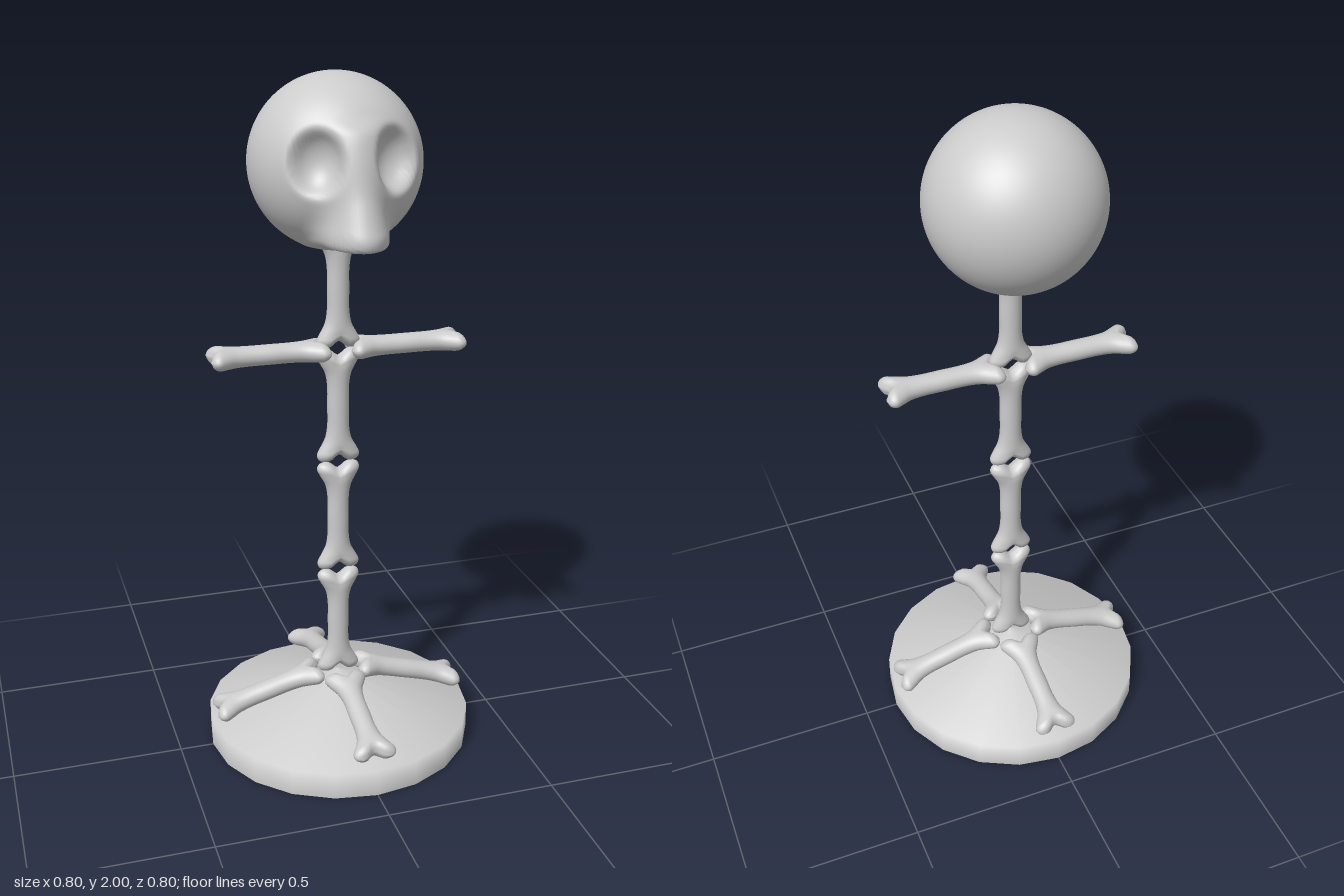
import * as THREE from 'three';
import { mergeVertices } from 'three/addons/utils/BufferGeometryUtils.js';

const material = new THREE.MeshStandardMaterial({ color: 0xcccccc });

function add(parent, name, geometry) {
  const mesh = new THREE.Mesh(geometry, material);
  mesh.name = name;
  parent.add(mesh);
  return mesh;
}

// Weld seams and recompute smooth normals after moving vertices
function smooth(geometry) {
  geometry.deleteAttribute('uv');
  geometry.deleteAttribute('normal');
  const welded = mergeVertices(geometry, 1e-5);
  welded.computeVertexNormals();
  return welded;
}

// Smooth minimum and maximum, used to blend solids
function blendMin(a, b, k) {
  const h = Math.max(k - Math.abs(a - b), 0) / k;
  return Math.min(a, b) - h * h * k / 4;
}
const blendMax = (a, b, k) => -blendMin(-a, -b, k);

// Flattened bone along y, wide in x, with a two-lobed knuckle at each end
function boneGeometry() {
  // Half profile: half width, distance from the middle, half thickness
  const profile = new THREE.CatmullRomCurve3([
    [0.032, 0, 0.029], [0.032, 0.06, 0.029], [0.039, 0.1, 0.03], [0.056, 0.132, 0.032],
    [0.064, 0.15, 0.032], [0.059, 0.165, 0.023], [0.04, 0.174, 0],
  ].map((p) => new THREE.Vector3(...p)));
  const geometry = new THREE.CylinderGeometry(1, 1, 2, 28, 44, true);
  const pos = geometry.attributes.position;
  for (let i = 0; i < pos.count; i++) {
    const t = pos.getY(i);
    const p = profile.getPoint(Math.min(1, Math.abs(t)));
    const x = pos.getX(i) * p.x;
    const dent = Math.exp(-((x / 0.02) ** 2)) * THREE.MathUtils.smoothstep(p.y, 0.1, 0.17);
    pos.setXYZ(i, x, Math.sign(t) * (p.y - 0.022 * dent), pos.getZ(i) * p.z * (1 - 0.2 * dent));
  }
  return smooth(geometry);
}

// Signed measure of the skull solid: negative inside
function skullField(x, y, z) {
  const ax = Math.abs(x);
  const cranium = Math.hypot(x, y - 1.757, z + 0.03) - 0.243;

  // Muzzle: elliptical column leaning forward towards the mouth, flat below
  const up = THREE.MathUtils.clamp((y - 1.6) / 0.25, 0, 1);
  const front = 0.287 - 0.09 * up ** 0.9;
  const halfWidth = 0.094 - 0.045 * up;
  const halfDepth = front - 0.12;
  const column = (Math.hypot(x / halfWidth, (z - 0.12) / halfDepth) - 1) * halfWidth;
  const muzzle = blendMax(blendMax(column, 1.56 - y, 0.02), y - 1.86, 0.03);
  const solid = blendMin(cranium, muzzle, 0.045);

  // Eye sockets: ellipsoids turned outwards
  const c = Math.cos(0.62), s = Math.sin(0.62);
  const dx = ax - 0.122, dz = z - 0.19;
  const side = c * dx - s * dz, depth = s * dx + c * dz;
  const socket = (Math.hypot(side / 0.074, (y - 1.79) / 0.09, depth / 0.075) - 1) * 0.078;
  return blendMax(solid, -socket, 0.022);
}

// Move every vertex of a sphere along its ray to the skull surface
function skullGeometry() {
  const geometry = new THREE.SphereGeometry(1, 160, 120);
  const pos = geometry.attributes.position;
  const d = new THREE.Vector3();
  for (let i = 0; i < pos.count; i++) {
    d.fromBufferAttribute(pos, i);
    let near = 0, far = 0.45;
    for (let k = 0; k < 22; k++) {
      const r = (near + far) / 2;
      if (skullField(d.x * r, 1.757 + d.y * r, d.z * r - 0.03) < 0) near = r;
      else far = r;
    }
    pos.setXYZ(i, d.x * near, 1.757 + d.y * near, d.z * near - 0.03);
  }
  return smooth(geometry);
}

export function createModel() {
  const model = new THREE.Group();
  model.name = 'boneStand';
  const bone = boneGeometry();

  // Base: low drum with a shallow cone on top
  const base = new THREE.Group();
  base.name = 'base';
  model.add(base);
  const outline = [[0.4, 0], [0.4, 0.08], [0, 0.2]].map((p) => new THREE.Vector2(...p));
  add(base, 'baseTop', new THREE.LatheGeometry(outline, 20));
  const underside = add(base, 'baseUnderside', new THREE.CircleGeometry(0.4, 20));
  underside.rotation.x = Math.PI / 2;

  // Spine: four stacked bones
  for (let i = 0; i < 4; i++) {
    add(model, 'spineBone' + (i + 1), bone).position.y = 0.37 + i * 0.345;
  }

  // Bone lying outwards from the axis, turned about y and tilted down
  function limb(name, turn, distance, height, tilt) {
    const pivot = new THREE.Group();
    pivot.name = name;
    pivot.rotation.y = turn;
    const mesh = add(pivot, name + 'Bone', bone);
    mesh.position.set(0, height, distance);
    mesh.rotation.x = Math.PI / 2 + tilt;
    model.add(pivot);
  }

  // Arms
  limb('leftArm', Math.PI / 2, 0.203, 1.23, 0);
  limb('rightArm', -Math.PI / 2, 0.203, 1.23, 0);

  // Four feet resting on the cone
  ['frontFoot', 'leftFoot', 'backFoot', 'rightFoot'].forEach((name, i) => {
    limb(name, i * Math.PI / 2, 0.222, 0.162, 0.27);
  });

  // Skull
  add(model, 'skull', skullGeometry());
  return model;
}
